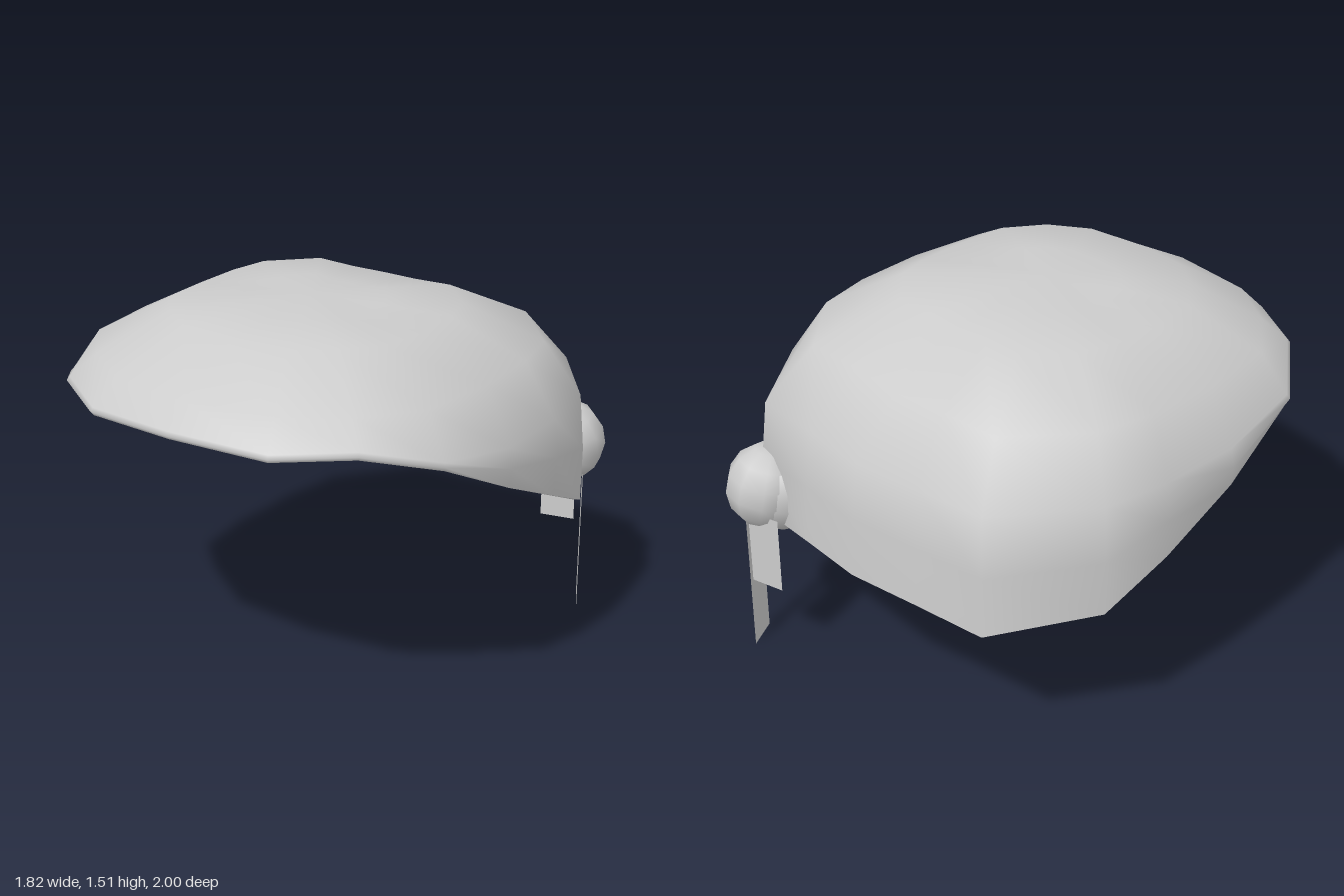
import * as THREE from 'three';
import { mergeVertices } from 'three/addons/utils/BufferGeometryUtils.js';

const grey = new THREE.MeshStandardMaterial({ color: 0xcccccc, side: THREE.DoubleSide });
const CZ = 0.12; // z of the crown's highest point
const RIM = 6; // index of the lowest ring

// Half outline from front to back: x, z, height of the rim there
const outline = [
  [0, 1, 1.205], [0.4, 0.945, 1.19], [0.665, 0.775, 1.205], [0.865, 0.53, 1.13], [0.912, 0.15, 0.945],
  [0.908, -0.2, 0.79], [0.868, -0.49, 0.66], [0.61, -0.86, 0.62], [0.305, -0.895, 0.63], [0, -0.935, 0.64],
];
const spokes = [...outline, ...outline.slice(1, -1).reverse().map(([x, z, y]) => [-x, z, y])];

// How far each ring reaches out, from the crown down to the rim
const reach = {
  front: [0, 0.29, 0.586, 0.885, 0.99, 1, 0.985],
  side: [0, 0.29, 0.57, 0.87, 0.985, 1, 0.99],
  back: [0, 0.24, 0.48, 0.77, 0.96, 0.985, 1],
};
const liningDrop = [0.045, 0.055, 0.055, 0.03, 0.01, 0.005, 0];

function ring(k, inner) {
  return spokes.map(([x, z, rim]) => {
    const dz = z - CZ;
    const w = (dz * dz) / (x * x + dz * dz);
    const end = dz > 0 ? reach.front : reach.back;
    let f = THREE.MathUtils.lerp(reach.side[k], end[k], w);
    // The crown is a little fuller along its diagonals
    const lift = 0.04 * w * (1 - w);
    const y3 = Math.max(1.1, rim + 0.03);
    let y = [1.515, 1.49 + lift, 1.465 + lift, 1.32, y3, THREE.MathUtils.lerp(y3, rim, 0.5), rim][k];
    if (inner) {
      f *= k === RIM ? 0.98 : 0.97;
      y -= liningDrop[k];
    }
    return [x * f, y, CZ + dz * f];
  });
}

// Skin a list of closed rings
function skin(rows) {
  const n = spokes.length;
  const index = [];
  for (let r = 0; r < rows.length - 1; r++) {
    for (let i = 0; i < n; i++) {
      const a = r * n + i, b = r * n + ((i + 1) % n);
      index.push(a, a + n, b + n, a, b + n, b);
    }
  }
  const g = new THREE.BufferGeometry();
  g.setAttribute('position', new THREE.Float32BufferAttribute(rows.flat(2), 3));
  g.setIndex(index);
  const merged = mergeVertices(g);
  merged.computeVertexNormals();
  return merged;
}

function add(parent, name, geometry) {
  const mesh = new THREE.Mesh(geometry, grey);
  mesh.name = name;
  parent.add(mesh);
  return mesh;
}

// Flat strip hanging from y0 down to y1 between two plan points
function ribbon(parent, name, [xa, za], [xb, zb], y0, y1) {
  const mesh = add(parent, name, new THREE.PlaneGeometry(Math.hypot(xb - xa, zb - za), y0 - y1));
  mesh.position.set((xa + xb) / 2, (y0 + y1) / 2, (za + zb) / 2);
  mesh.rotation.y = -Math.atan2(zb - za, xb - xa);
}

export function createModel() {
  const model = new THREE.Group();
  model.name = 'headscarf';

  // Cloth cap: outside, lining and the narrow hem joining them
  const cap = new THREE.Group();
  cap.name = 'cap';
  const levels = liningDrop.map((_, k) => k);
  const outer = levels.map((k) => ring(k, false));
  const inner = levels.map((k) => ring(k, true)).reverse();
  add(cap, 'capOutside', skin(outer));
  add(cap, 'capHem', skin([outer[RIM], inner[0]]));
  add(cap, 'capLining', skin(inner));
  model.add(cap);

  // Knot: one lobe inside the back of the cap, one outside
  const knot = new THREE.Group();
  knot.name = 'knot';
  for (const [name, x, y, z, turn] of [
    ['knotInnerLobe', 0.557, 0.722, -0.79, 0.2],
    ['knotOuterLobe', 0.598, 0.738, -0.846, 0.5],
  ]) {
    const lobe = add(knot, name, new THREE.SphereGeometry(0.16, 10, 7));
    lobe.position.set(x, y, z);
    lobe.scale.set(1, 1.08, 1);
    lobe.rotation.set(0.15, turn, 0.1);
  }
  model.add(knot);

  // Loose ends hanging from the knot
  ribbon(model, 'shortRibbon', [0.455, -0.915], [0.597, -0.945], 0.66, 0.34);
  ribbon(model, 'longRibbon', [0.635, -0.93], [0.707, -0.8], 0.66, 0);
  return model;
}
